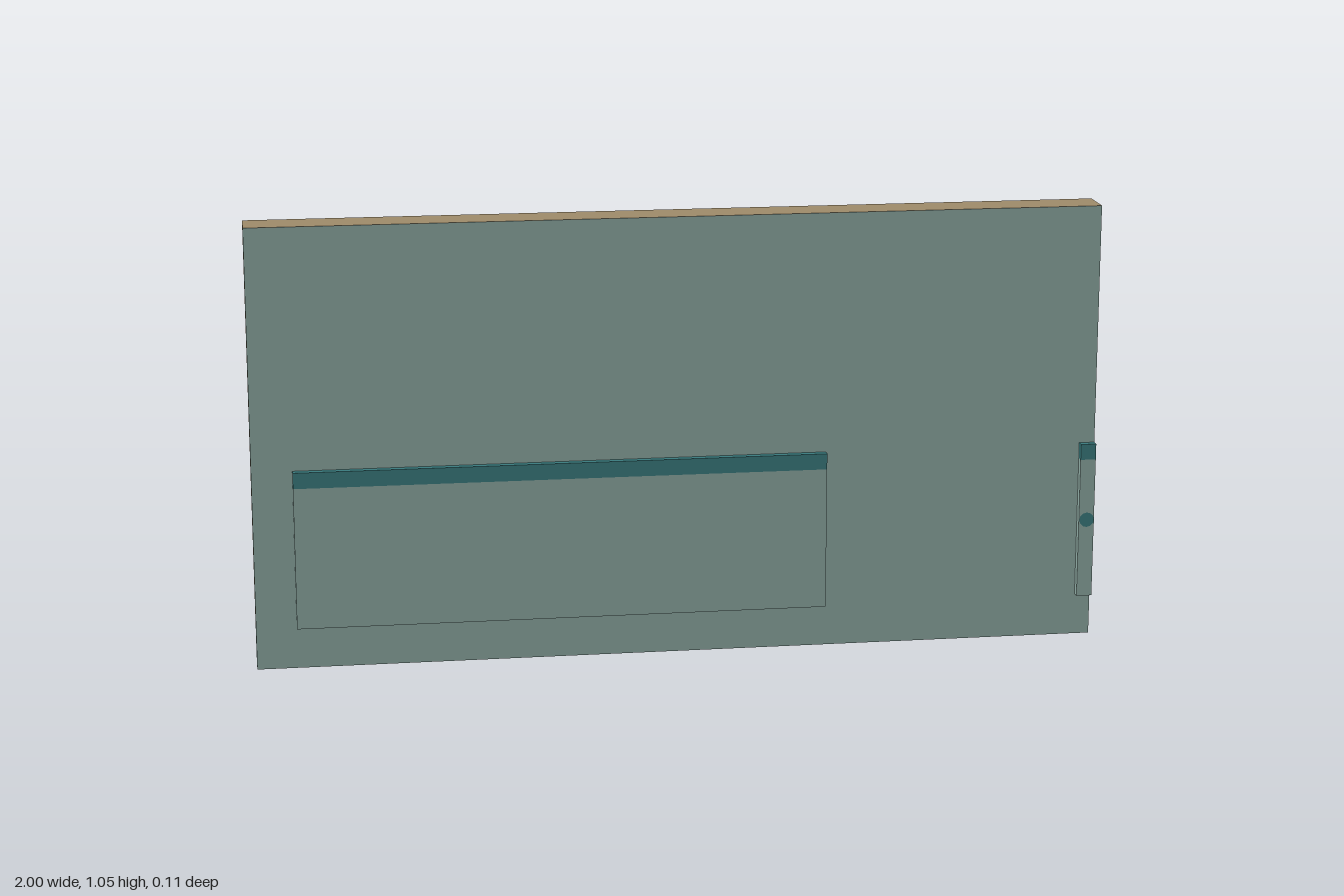
import * as THREE from 'three';

const sage = new THREE.MeshStandardMaterial({ color: 0x8ea9a2 });
sage.name = 'sage';
const tan = new THREE.MeshStandardMaterial({ color: 0x9f8b6a });
tan.name = 'tan';
const teal = new THREE.MeshStandardMaterial({ color: 0x3a7b7e });
teal.name = 'teal';

// Box between two corners; material is one colour or [+x, -x, +y, -y, +z, -z]
function block(name, material, [x0, y0, z0], [x1, y1, z1]) {
  const mesh = new THREE.Mesh(new THREE.BoxGeometry(x1 - x0, y1 - y0, z1 - z0), material);
  mesh.position.set((x0 + x1) / 2, (y0 + y1) / 2, (z0 + z1) / 2);
  mesh.name = name;
  return mesh;
}

export function createModel() {
  const model = new THREE.Group();
  model.name = 'wallPanel';
  const back = -0.057, seam = 0.019, front = 0.039, raised = 0.057;
  const base = 0.097, top = 1.05;

  // Wall: plain foot, tan-edged core with a sage back, and a sage front skin
  model.add(
    block('wallFoot', sage, [-1, 0, back], [1, base, front]),
    block('lowerBackBand', tan, [-1, base, back], [1, 0.12, seam]),
    block('wallCore', [tan, tan, tan, tan, tan, sage], [-1, 0.12, back], [1, 1.012, seam]),
    block('upperBackBand', tan, [-1, 1.012, back], [1, top, seam]),
    block('frontSkin', [sage, sage, tan, sage, sage, sage], [-1, base, seam], [1, top, front])
  );

  // Raised panels, each with a teal cap along the top
  for (const [name, x0, x1] of [['widePanel', -0.905, 0.348], ['narrowPanel', 0.963, 1]]) {
    const panel = new THREE.Group();
    panel.name = name;
    panel.add(
      block(name + 'Body', sage, [x0, 0.1, front], [x1, 0.439, raised]),
      block(name + 'Cap', teal, [x0, 0.439, front], [x1, 0.477, raised])
    );
    model.add(panel);
  }

  // Small teal spot on the face of the narrow panel
  const spot = new THREE.Mesh(new THREE.CircleGeometry(0.018, 12), teal);
  spot.position.set(0.982, 0.29, raised + 0.0005);
  spot.name = 'narrowPanelSpot';
  model.add(spot);

  // Thin teal flecks on the outer edge of the narrow panel
  for (const [y0, y1, z] of [[0.25, 0.325, 0.049], [0.28, 0.3, 0.055], [0.1, 0.13, 0.049], [0.1, 0.125, 0.043]]) {
    model.add(block('edgeFleck', teal, [0.999, y0, z - 0.001], [1.0005, y1, z + 0.001]));
  }
  return model;
}
